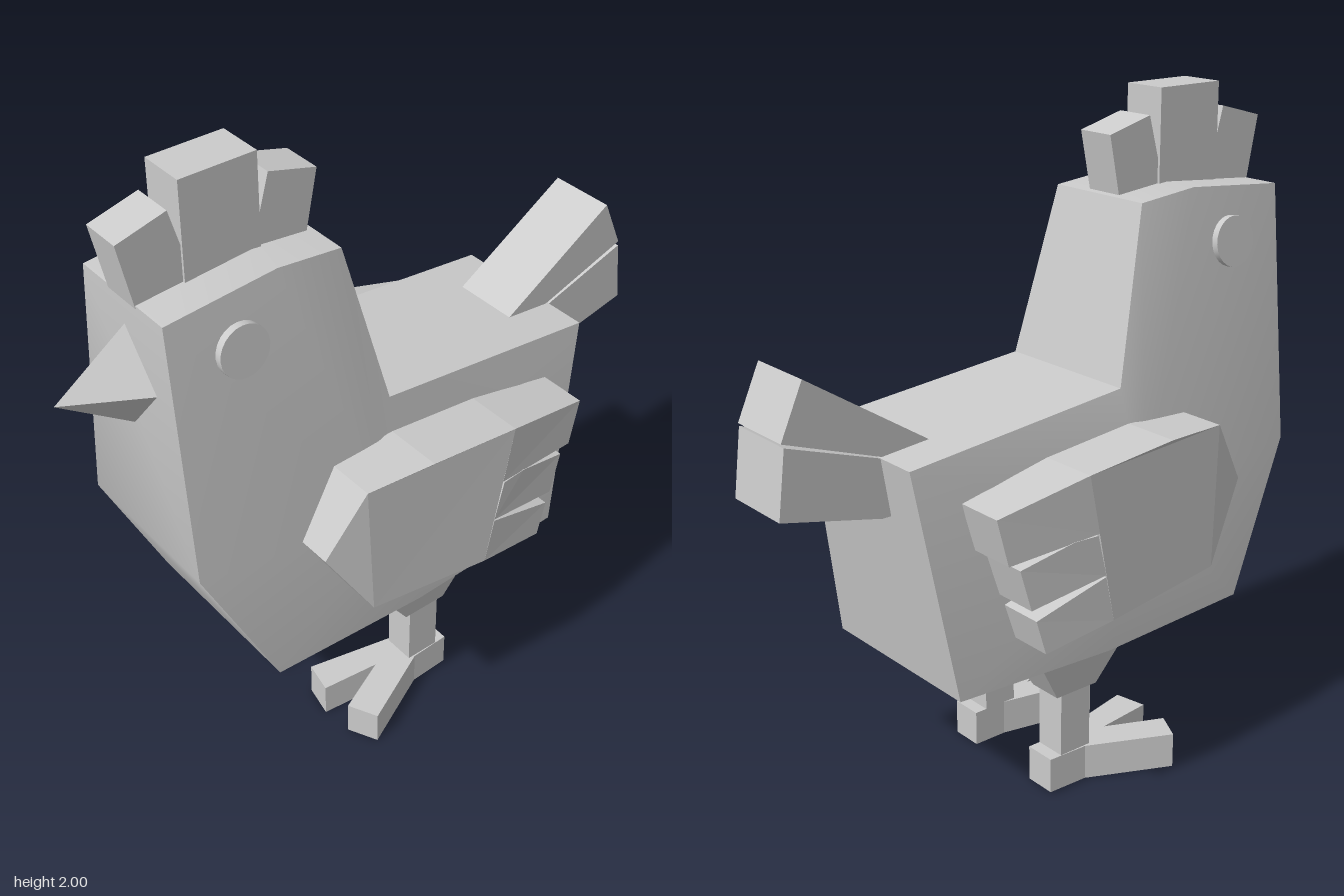
import * as THREE from 'three';
import { toCreasedNormals } from 'three/addons/utils/BufferGeometryUtils.js';

const flat = new THREE.MeshStandardMaterial({ color: 0xcccccc, flatShading: true });
const smooth = new THREE.MeshStandardMaterial({ color: 0xcccccc });

function add(parent, name, geometry, material = flat) {
  const mesh = new THREE.Mesh(geometry, material);
  mesh.name = name;
  parent.add(mesh);
  return mesh;
}

// Side outline of [z, y] points, extruded across x from x0 to x1
function prism(points, x0, x1) {
  const shape = new THREE.Shape(points.map(([z, y]) => new THREE.Vector2(-z, y)));
  return new THREE.ExtrudeGeometry(shape, { depth: x1 - x0, bevelEnabled: false })
    .rotateY(Math.PI / 2).translate(x0, 0, 0);
}

// Move every vertex by a rule
function bend(geometry, rule) {
  const p = geometry.attributes.position;
  const v = new THREE.Vector3();
  for (let i = 0; i < p.count; i++) {
    v.fromBufferAttribute(p, i);
    rule(v);
    p.setXYZ(i, v.x, v.y, v.z);
  }
  geometry.computeVertexNormals();
  return geometry;
}

// Body: side outline [z, y, half width] with a bulging centre on each flank
function bodyGeometry() {
  const outline = [
    [0.74, 1.70, 0.18], [0.40, 1.73, 0.18], [0.20, 1.71, 0.18], [0.08, 1.21, 0.235],
    [-0.65, 1.14, 0.24], [-0.54, 0.46, 0.29], [0, 0.44, 0.295], [0.52, 0.46, 0.29],
    [0.74, 0.92, 0.255],
  ];
  const verts = [];
  const corner = (p, side) => [side * p[2], p[1], p[0]];
  outline.forEach((a, i) => {
    const b = outline[(i + 1) % outline.length];
    const [la, lb, ra, rb] = [corner(a, 1), corner(b, 1), corner(a, -1), corner(b, -1)];
    verts.push(la, lb, rb, la, rb, ra);
    verts.push([0.305, 0.85, 0.12], lb, la, [-0.305, 0.85, 0.12], ra, rb);
  });
  const g = new THREE.BufferGeometry();
  g.setAttribute('position', new THREE.Float32BufferAttribute(verts.flat(), 3));
  return toCreasedNormals(g, 0.6);
}

// Wing outer face recedes toward both ends
function wingPart(points) {
  return bend(prism(points, 0.26, 0.44), (v) => {
    if (v.x > 0.35) v.x -= 0.27 * Math.max(0, v.z - 0.2) + 0.11 * Math.max(0, -v.z - 0.2);
  });
}

function createSide(name) {
  const side = new THREE.Group();
  side.name = name;

  // Eye disc
  const eye = add(side, 'eye', toCreasedNormals(
    new THREE.CylinderGeometry(0.075, 0.075, 0.035, 24).rotateZ(Math.PI / 2), 0.6), smooth);
  eye.position.set(0.205, 1.56, 0.535);
  eye.rotation.z = 0.1;

  // Wing panel and three feathers
  const wing = new THREE.Group();
  wing.name = 'wing';
  side.add(wing);
  add(wing, 'wingPanel', wingPart([
    [0.42, 0.90], [0.30, 1.10], [0.09, 1.11], [-0.21, 1.08], [-0.12, 0.63], [0.28, 0.67],
  ]));
  const feathers = [
    [[-0.21, 1.08], [-0.50, 1.02], [-0.465, 0.88], [-0.175, 0.905]],
    [[-0.18, 0.90], [-0.26, 0.90], [-0.43, 0.86], [-0.395, 0.735], [-0.15, 0.775]],
    [[-0.15, 0.77], [-0.38, 0.70], [-0.35, 0.595], [-0.12, 0.63]],
  ];
  for (const f of feathers) add(wing, 'wingFeather', wingPart(f));

  // Thigh flares toward the body
  add(side, 'thigh', bend(
    prism([[0.10, 0.45], [-0.23, 0.45], [-0.15, 0.31], [0, 0.31]], 0.125, 0.235),
    (v) => { if (v.y > 0.4) v.x = v.x > 0.18 ? 0.255 : 0.10; }));

  // Shank
  add(side, 'shank', new THREE.BoxGeometry(0.10, 0.24, 0.11).translate(0.18, 0.21, -0.075));

  // Forked foot, drawn in plan as [x, z]
  const plan = [
    [0.13, -0.17], [0.23, -0.17], [0.235, -0.04], [0.355, 0.21], [0.265, 0.255],
    [0.185, 0.08], [0.165, 0.265], [0.065, 0.245], [0.13, -0.06],
  ];
  const shape = new THREE.Shape(plan.map(([x, z]) => new THREE.Vector2(x, -z)));
  add(side, 'foot', new THREE.ExtrudeGeometry(shape, { depth: 0.11, bevelEnabled: false })
    .rotateX(-Math.PI / 2));
  return side;
}

export function createModel() {
  const model = new THREE.Group();
  model.name = 'chicken';

  add(model, 'body', bodyGeometry(), smooth);

  // Four-sided beak
  add(model, 'beak', new THREE.ConeGeometry(1, 1, 4).rotateX(Math.PI / 2)
    .scale(0.125, 0.155, 0.22).translate(0, 1.46, 0.85));

  // Comb
  const comb = new THREE.Group();
  comb.name = 'comb';
  model.add(comb);
  add(comb, 'combFront', prism(
    [[0.74, 1.69], [0.78, 1.885], [0.63, 1.925], [0.595, 1.80], [0.58, 1.69]], -0.062, 0.062));
  add(comb, 'combMiddle', prism([[0.60, 1.69], [0.60, 2.0], [0.37, 2.0], [0.37, 1.69]], -0.07, 0.07));
  add(comb, 'combBack', prism(
    [[0.225, 1.69], [0.185, 1.885], [0.335, 1.925], [0.37, 1.80], [0.39, 1.69]], -0.062, 0.062));

  // Tail
  const tail = new THREE.Group();
  tail.name = 'tail';
  model.add(tail);
  add(tail, 'tailUpper', prism(
    [[-0.49, 1.155], [-0.87, 1.40], [-0.94, 1.245], [-0.64, 1.14], [-0.55, 1.10]], -0.105, 0.105));
  add(tail, 'tailLower', prism(
    [[-0.55, 1.12], [-0.65, 1.14], [-0.935, 1.235], [-0.96, 1.04], [-0.65, 0.97], [-0.55, 0.97]],
    -0.11, 0.11));

  // Mirrored eyes, wings and legs
  model.add(createSide('leftSide'));
  const right = createSide('rightSide');
  right.scale.x = -1;
  model.add(right);
  return model;
}
